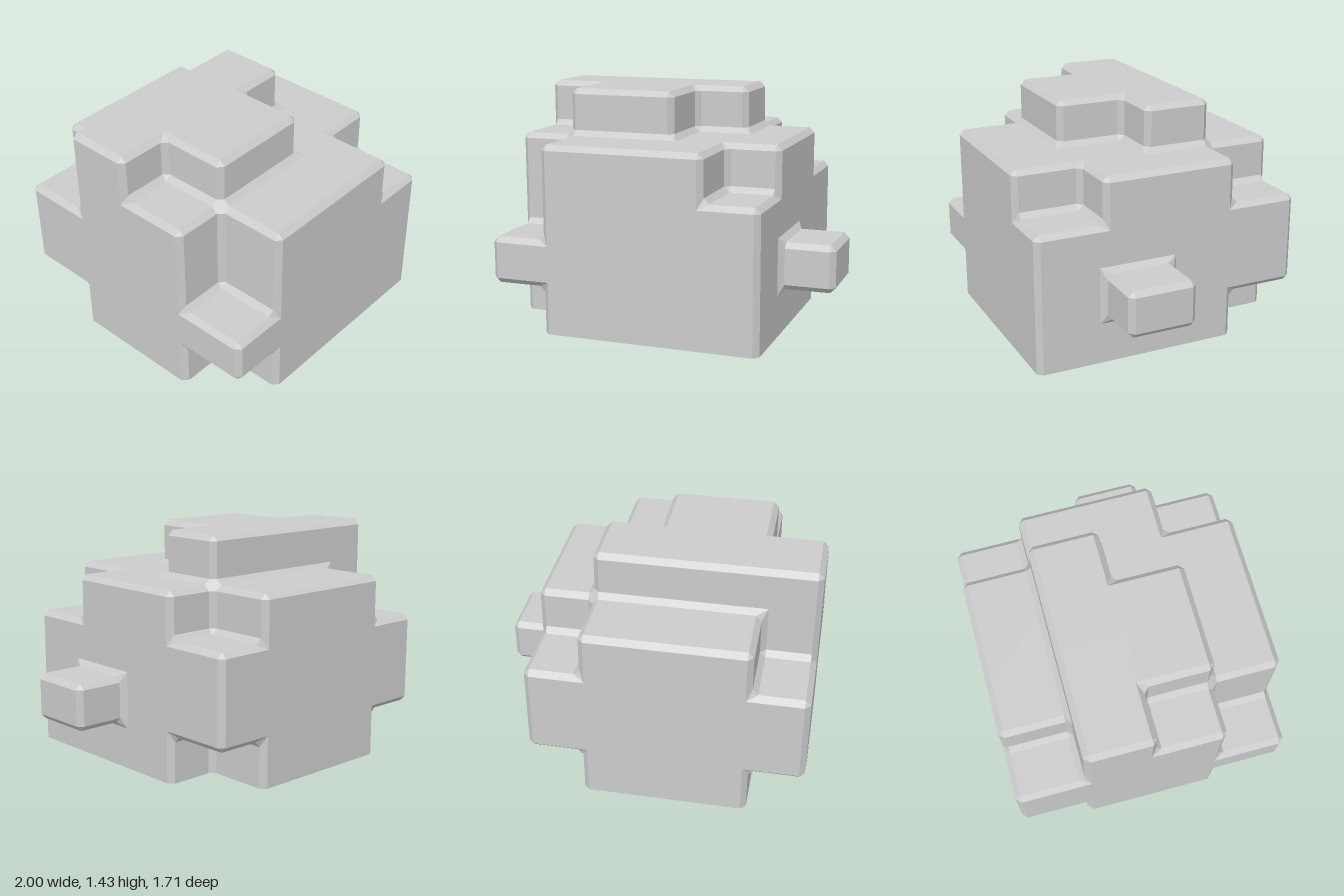
import * as THREE from 'three';

// Solid cells: one block per layer (bottom to top), rows back to front, columns along +x
const LAYERS = [
  ['.###..', '#####.', '#####.', '.####.'],
  ['#####.', '#####.', '######', '#####.'],
  ['#####.', '#####.', '#####.', '.####.'],
  ['.###..', '#####.', '#####.', '.###..'],
  ['......', '####..', '.##...', '......'],
];
const COUNT = [6, 5, 4];
const CELL = [1 / 3, 0.286, 0.427];
const BEVEL = 0.033;

// The lowest layer repeats below ground, so the bevels run straight down to it
const solid = ([i, j, k]) => LAYERS[Math.max(j, 0)]?.[k]?.[i] === '#';
const step = (cell, axis, sign) => cell.map((v, n) => (n === axis ? v + sign : v));
const exposed = (cell, axis, sign) => solid(cell) && !solid(step(cell, axis, sign));

// Lattice corner of a cell; signs holds -1 or 1 for each axis
const lattice = (cell, signs) => cell.map((v, n) => v + (signs[n] > 0 ? 1 : 0));

// Corner of a cell face, moved inward from every edge where the flat area ends
function insetCorner(cell, axis, signs) {
  const u = (axis + 1) % 3, v = (axis + 2) % 3, s = signs[axis];
  const cu = step(cell, u, signs[u]), cv = step(cell, v, signs[v]);
  const U = exposed(cu, axis, s), V = exposed(cv, axis, s);
  const D = exposed(step(cu, v, signs[v]), axis, s);
  const move = [0, 0, 0];
  move[u] = signs[u] * (!U || (V && !D) ? -1 : !V && D ? 1 : 0);
  move[v] = signs[v] * (!V || (U && !D) ? -1 : !U && D ? 1 : 0);
  const p = lattice(cell, signs).map((g, n) =>
    (g - (n === 1 ? 0 : COUNT[n] / 2)) * CELL[n] + move[n] * BEVEL);
  return new THREE.Vector3(...p);
}

function buildBeveledCells() {
  const positions = [];
  const corners = new Map();
  const ground = new THREE.Vector3();

  const triangle = (a, b, c) => { for (const p of [a, b, c]) positions.push(p.x, p.y, p.z); };

  // Adds a quad facing outward and closes the underside below edges on the ground
  function quad(points, outward) {
    const [a, b, , d] = points;
    const normal = b.clone().sub(a).cross(d.clone().sub(a));
    const flip = normal.dot(outward) < 0;
    const q = flip ? [a, d, points[2], b] : points;
    triangle(q[0], q[1], q[2]);
    triangle(q[0], q[2], q[3]);
    q.forEach((p, n) => {
      const next = q[(n + 1) % 4];
      if (p.y === 0 && next.y === 0) triangle(next, p, ground);
    });
    return flip;
  }

  function recordEnd(key, from, to) {
    if (!corners.has(key)) corners.set(key, []);
    corners.get(key).push([from, to]);
  }

  // Bevel strip between a face and the face it meets, outside or inside corner
  function strip(cell, axis, s, t, ts) {
    const w = 3 - axis - t;
    const convex = !solid(step(cell, t, ts));
    const other = convex ? cell : step(step(cell, t, ts), axis, s);
    const end = (ws) => {
      const signs = [0, 0, 0];
      signs[axis] = s; signs[t] = ts; signs[w] = ws;
      const otherSigns = signs.map((g, n) => (convex || n === w ? g : -g));
      return {
        key: lattice(cell, signs).join(),
        a: insetCorner(cell, axis, signs),
        b: insetCorner(other, t, otherSigns),
      };
    };
    const e0 = end(-1), e1 = end(1);
    const outward = new THREE.Vector3()
      .setComponent(axis, s).setComponent(t, convex ? ts : -ts);
    const flip = quad([e0.a, e1.a, e1.b, e0.b], outward);
    if (flip) {
      recordEnd(e0.key, e0.a, e0.b);
      recordEnd(e1.key, e1.b, e1.a);
    } else {
      recordEnd(e0.key, e0.b, e0.a);
      recordEnd(e1.key, e1.a, e1.b);
    }
  }

  function face(cell, axis, s) {
    const u = (axis + 1) % 3, v = (axis + 2) % 3;
    const points = [[-1, -1], [1, -1], [1, 1], [-1, 1]].map(([su, sv]) => {
      const signs = [0, 0, 0];
      signs[axis] = s; signs[u] = su; signs[v] = sv;
      return insetCorner(cell, axis, signs);
    });
    quad(points, new THREE.Vector3().setComponent(axis, s));
    for (let t = axis + 1; t < 3; t++) for (const ts of [-1, 1]) {
      if (!exposed(step(cell, t, ts), axis, s)) strip(cell, axis, s, t, ts);
    }
  }

  for (let i = 0; i < COUNT[0]; i++)
    for (let j = 0; j < COUNT[1]; j++)
      for (let k = 0; k < COUNT[2]; k++)
        for (let axis = 0; axis < 3; axis++)
          for (const s of [-1, 1])
            if (exposed([i, j, k], axis, s)) face([i, j, k], axis, s);

  // Corner facets where three or more strips meet
  for (const ends of corners.values()) {
    if (ends.length < 3) continue;
    const centre = new THREE.Vector3();
    ends.forEach(([from]) => centre.addScaledVector(from, 1 / ends.length));
    ends.forEach(([from, to]) => triangle(to, from, centre));
  }

  const geometry = new THREE.BufferGeometry();
  geometry.setAttribute('position', new THREE.Float32BufferAttribute(positions, 3));
  geometry.computeVertexNormals();
  return geometry;
}

export function createModel() {
  const group = new THREE.Group();
  group.name = 'blockRock';
  const material = new THREE.MeshStandardMaterial({ color: 0xcccccc, flatShading: true });
  const body = new THREE.Mesh(buildBeveledCells(), material);
  body.name = 'steppedBody';
  group.add(body);
  return group;
}
